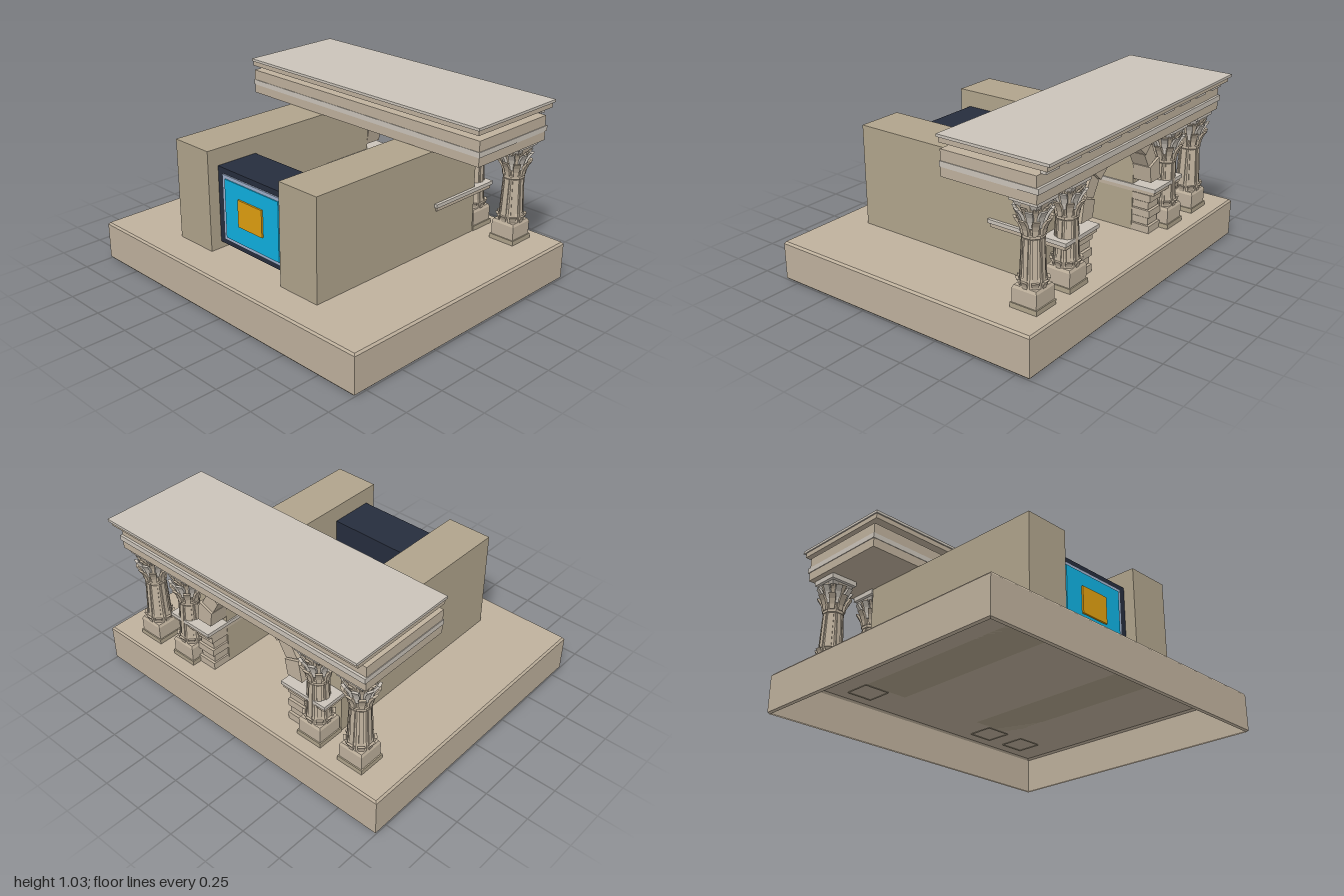
import * as THREE from 'three';

const mat = (color) => new THREE.MeshStandardMaterial({ color, flatShading: true, side: THREE.DoubleSide });
const STONE = mat(0xbfb19d), WALL = mat(0xb0a48c), PALE = mat(0xcbc4ba);
const NAVY = mat(0x262d3d), FRAME = mat(0x9fb0cc), CYAN = mat(0x0fb0e0), ORANGE = mat(0xdf9f10);

function add(parent, name, geometry, material) {
  const mesh = new THREE.Mesh(geometry, material);
  mesh.name = name;
  parent.add(mesh);
  return mesh;
}

// box given by its limits on each axis
function box(parent, name, material, x0, x1, y0, y1, z0, z1) {
  const m = add(parent, name, new THREE.BoxGeometry(x1 - x0, y1 - y0, z1 - z0), material);
  m.position.set((x0 + x1) / 2, (y0 + y1) / 2, (z0 + z1) / 2);
  return m;
}

// faceted turning with flat sides facing the axes; radii are measured to the flats
function turned(points, sides) {
  const k = 1 / Math.cos(Math.PI / sides);
  const pts = points.map(([r, y]) => new THREE.Vector2(r * k, y));
  return new THREE.LatheGeometry(pts, sides, Math.PI / sides);
}

// tapered leaf block, standing on its foot, leaning outward along +z
function leafGeometry(width, height, depth) {
  const g = new THREE.BoxGeometry(width, height, depth, 1, 3, 1);
  g.translate(0, height / 2, 0);
  const p = g.attributes.position;
  for (let i = 0; i < p.count; i++) {
    const t = p.getY(i) / height;
    p.setX(i, p.getX(i) * (0.65 + 0.75 * t - 0.35 * t * t));
    p.setZ(i, p.getZ(i) + 0.04 * t * t * (height / 0.1));
  }
  return g;
}

function leafRing(parent, name, material, count, phase, radius, y, width, height, depth) {
  const g = leafGeometry(width, height, depth);
  for (let i = 0; i < count; i++) {
    const a = ((i + phase) / count) * Math.PI * 2;
    const leaf = add(parent, name, g, material);
    leaf.position.set(Math.sin(a) * radius, y, Math.cos(a) * radius);
    leaf.rotation.y = a;
  }
}

function column(x, z) {
  const c = new THREE.Group();
  c.name = 'column';
  // square plinth and pedestal
  add(c, 'plinth', turned([[0.08, 0.225], [0.08, 0.257], [0, 0.257]], 4), WALL);
  add(c, 'pedestal', turned([[0.073, 0.257], [0.073, 0.335], [0.066, 0.35], [0, 0.35]], 4), STONE);
  // eight-sided shaft and bell of the capital
  add(c, 'shaft', turned([[0.066, 0.345], [0.064, 0.385], [0.06, 0.4], [0.051, 0.6], [0.057, 0.605],
    [0.057, 0.62], [0.051, 0.625], [0.055, 0.72], [0.068, 0.78]], 8), STONE);
  leafRing(c, 'baseLeaf', STONE, 8, 0, 0.061, 0.345, 0.036, 0.04, 0.014);
  // flutes
  for (let i = 0; i < 8; i++) {
    const a = (i * Math.PI) / 4;
    const rib = add(c, 'shaftRib', new THREE.BoxGeometry(0.024, 0.22, 0.012), STONE);
    rib.rotation.set(-0.045, a, 0, 'YXZ');
    rib.position.set(Math.sin(a) * 0.056, 0.49, Math.cos(a) * 0.056);
  }
  // two tiers of leaves
  leafRing(c, 'lowerLeaf', STONE, 8, 0, 0.055, 0.62, 0.036, 0.085, 0.015);
  leafRing(c, 'upperLeaf', PALE, 8, 0.5, 0.055, 0.66, 0.034, 0.095, 0.016);
  leafRing(c, 'capitalLeaf', STONE, 8, 0, 0.049, 0.69, 0.026, 0.075, 0.014);
  // abacus
  add(c, 'abacus', turned([[0.058, 0.755], [0.07, 0.785], [0.082, 0.79], [0.082, 0.82], [0, 0.82]], 4), PALE);
  c.position.set(x, 0, z);
  return c;
}

export function createModel() {
  const model = new THREE.Group();
  model.name = 'monument';

  // platform, open underneath
  const base = add(model, 'platform',
    turned([[0.99, 0], [1, 0.01], [1, 0.218], [0.99, 0.23], [0, 0.23]], 4), STONE);
  base.scale.z = 0.832;

  for (const s of [-1, 1]) {
    const span = (name, material, a, b, ...rest) =>
      box(model, name, material, Math.min(s * a, s * b), Math.max(s * a, s * b), ...rest);

    // side wall
    span('sideWall', WALL, 0.28, 0.55, 0.23, 0.815, -0.58, 0.64);

    // stepped band around wall end and inner column
    span('impostBand', STONE, 0.278, 0.56, 0.46, 0.482, -0.715, -0.25);
    span('impostBandTop', PALE, 0.272, 0.568, 0.482, 0.503, -0.725, -0.24);

    // coursed jamb beside the opening
    const courses = 5, h = (0.46 - 0.23) / courses;
    for (let i = 0; i < courses; i++) {
      const inset = i % 2 ? 0.012 : 0;
      span('jambBlock', STONE, 0.282 + inset / 2, 0.4 - inset,
        0.23 + i * h, 0.23 + (i + 1) * h - 0.004, -0.69 + inset, -0.575);
    }

    for (const x of [0.475, 0.75]) model.add(column(s * x, -0.665));
  }

  // arch of wedge stones
  const arch = new THREE.Group();
  arch.name = 'arch';
  const stones = 9, step = Math.PI / stones;
  for (let i = 0; i < stones; i++) {
    const a = i * step + 0.008, b = (i + 1) * step - 0.008;
    const outer = i % 2 ? 0.37 : 0.385;
    const shape = new THREE.Shape([[0.285, a], [outer, a], [outer, b], [0.285, b]]
      .map(([r, t]) => new THREE.Vector2(r * Math.cos(t), r * Math.sin(t))));
    const depth = i % 2 ? 0.1 : 0.11;
    const g = new THREE.ExtrudeGeometry(shape, { depth, bevelEnabled: false });
    add(arch, 'archStone', g, STONE).position.z = -0.58 - depth;
  }
  arch.position.y = 0.53;
  model.add(arch);

  // entablature
  box(model, 'architrave', STONE, -0.862, 0.862, 0.818, 0.87, -0.765, -0.195);
  box(model, 'entablatureBand', PALE, -0.866, 0.866, 0.87, 0.9, -0.776, -0.192);
  box(model, 'frieze', STONE, -0.862, 0.862, 0.9, 0.96, -0.762, -0.195);

  // row of dentils along the rear
  for (let i = 0; i < 10; i++) {
    const x = (i - 4.5) * 0.173;
    box(model, 'dentil', PALE, x - 0.053, x + 0.053, 0.962, 0.992, -0.793, -0.762);
  }

  // cornice
  box(model, 'corniceLower', STONE, -0.86, 0.86, 0.99, 1.018, -0.82, -0.185);
  box(model, 'corniceTop', PALE, -0.867, 0.867, 1.018, 1.033, -0.837, -0.177);

  // screen hung between the walls
  box(model, 'screenHousing', NAVY, -0.28, 0.28, 0.27, 0.717, 0.31, 0.572);
  box(model, 'screenFrame', FRAME, -0.236, 0.236, 0.302, 0.685, 0.57, 0.581);
  box(model, 'screenPanel', CYAN, -0.212, 0.212, 0.322, 0.665, 0.575, 0.587);
  box(model, 'screenSquare', ORANGE, -0.097, 0.093, 0.425, 0.582, 0.58, 0.597);
  return model;
}
